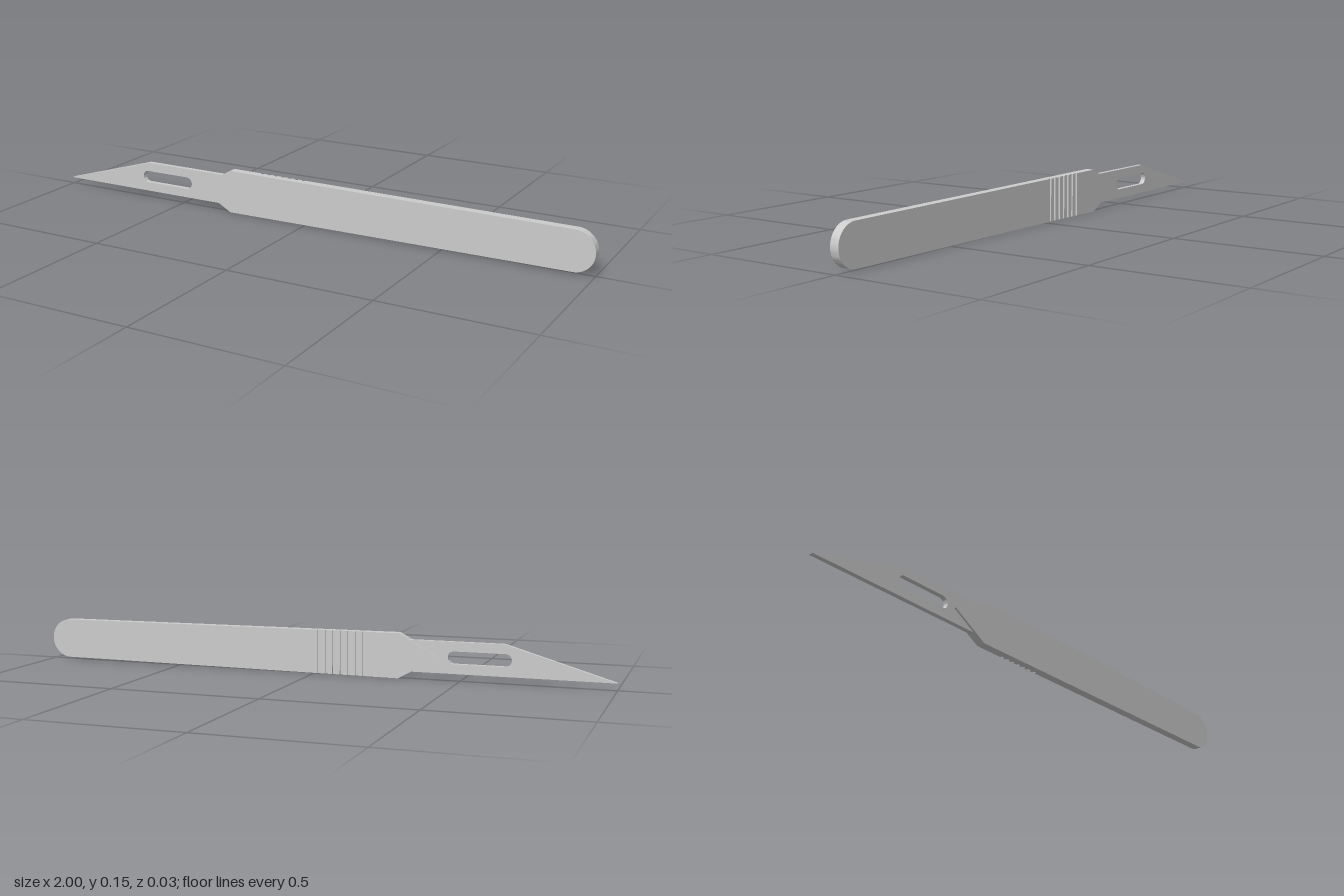
import * as THREE from 'three';
import { toCreasedNormals } from 'three/addons/utils/BufferGeometryUtils.js';

const MID = 0.075;      // height of the long axis
const HALF_T = 0.0155;  // half thickness of the handle
const SHOULDER = -0.295, END = 0.932, END_R = 0.068;

// Half height of the handle, narrowing slightly toward the rounded end
const halfHeight = (x) =>
  THREE.MathUtils.mapLinear(x, SHOULDER, END, 0.075, END_R);

// Joins rectangular cross-sections [x, halfHeight, backZ] into one skin
function loftHandle(stations) {
  const rings = stations.map(([x, h, zb]) => [
    [x, MID - h, HALF_T], [x, MID + h, HALF_T], [x, MID + h, zb], [x, MID - h, zb],
  ].map((p) => new THREE.Vector3(...p)));
  const positions = [];
  const addTriangle = (a, b, c) => {
    if (new THREE.Triangle(a, b, c).getArea() < 1e-9) return;
    for (const p of [a, b, c]) positions.push(p.x, p.y, p.z);
  };
  for (let i = 0; i < rings.length - 1; i++) {
    const a = rings[i], b = rings[i + 1];
    for (let k = 0; k < 4; k++) {
      const n = (k + 1) % 4;
      addTriangle(a[k], b[k], b[n]);
      addTriangle(a[k], b[n], a[n]);
    }
  }
  const geometry = new THREE.BufferGeometry();
  geometry.setAttribute('position', new THREE.Float32BufferAttribute(positions, 3));
  return toCreasedNormals(geometry, 0.4);
}

function handleGeometry() {
  // Pointed nose and shoulder
  const stations = [[-0.43, 0, -HALF_T], [SHOULDER, halfHeight(SHOULDER), -HALF_T]];
  // Grip grooves cut across the back
  const grooves = 7, pitch = 0.0265, width = 0.012, floor = -HALF_T + 0.006;
  for (let i = 0; i < grooves; i++) {
    const x0 = -0.185 + i * pitch, x1 = x0 + width;
    stations.push(
      [x0, halfHeight(x0), -HALF_T], [x0, halfHeight(x0), floor],
      [x1, halfHeight(x1), floor], [x1, halfHeight(x1), -HALF_T]);
  }
  // Rounded butt
  const steps = 14;
  for (let i = 0; i <= steps; i++) {
    const a = (i / steps) * Math.PI / 2;
    const h = i === steps ? 0 : END_R * Math.cos(a);
    stations.push([END + END_R * Math.sin(a), h, -HALF_T]);
  }
  return loftHandle(stations);
}

function bladeGeometry() {
  const thickness = 0.017;
  const outline = new THREE.Shape([
    [-1, 0.024], [-0.31, 0.024], [-0.31, 0.129], [-0.645, 0.129],
  ].map(([x, y]) => new THREE.Vector2(x, y)));
  // Mounting slot with round ends
  const r = 0.021, y = 0.077, left = -0.648, right = -0.481;
  const slot = new THREE.Path();
  slot.absarc(right, y, r, -Math.PI / 2, Math.PI / 2);
  slot.absarc(left, y, r, Math.PI / 2, Math.PI * 1.5);
  slot.closePath();
  outline.holes.push(slot);
  const geometry = new THREE.ExtrudeGeometry(outline, {
    depth: thickness, bevelEnabled: false, curveSegments: 10,
  });
  geometry.translate(0, 0, -thickness / 2);
  return toCreasedNormals(geometry, 0.4);
}

export function createModel() {
  const group = new THREE.Group();
  group.name = 'scalpel';
  const material = new THREE.MeshStandardMaterial({ color: 0xcccccc });
  const parts = { handle: handleGeometry(), blade: bladeGeometry() };
  for (const [name, geometry] of Object.entries(parts)) {
    const mesh = new THREE.Mesh(geometry, material);
    mesh.name = name;
    group.add(mesh);
  }
  return group;
}
